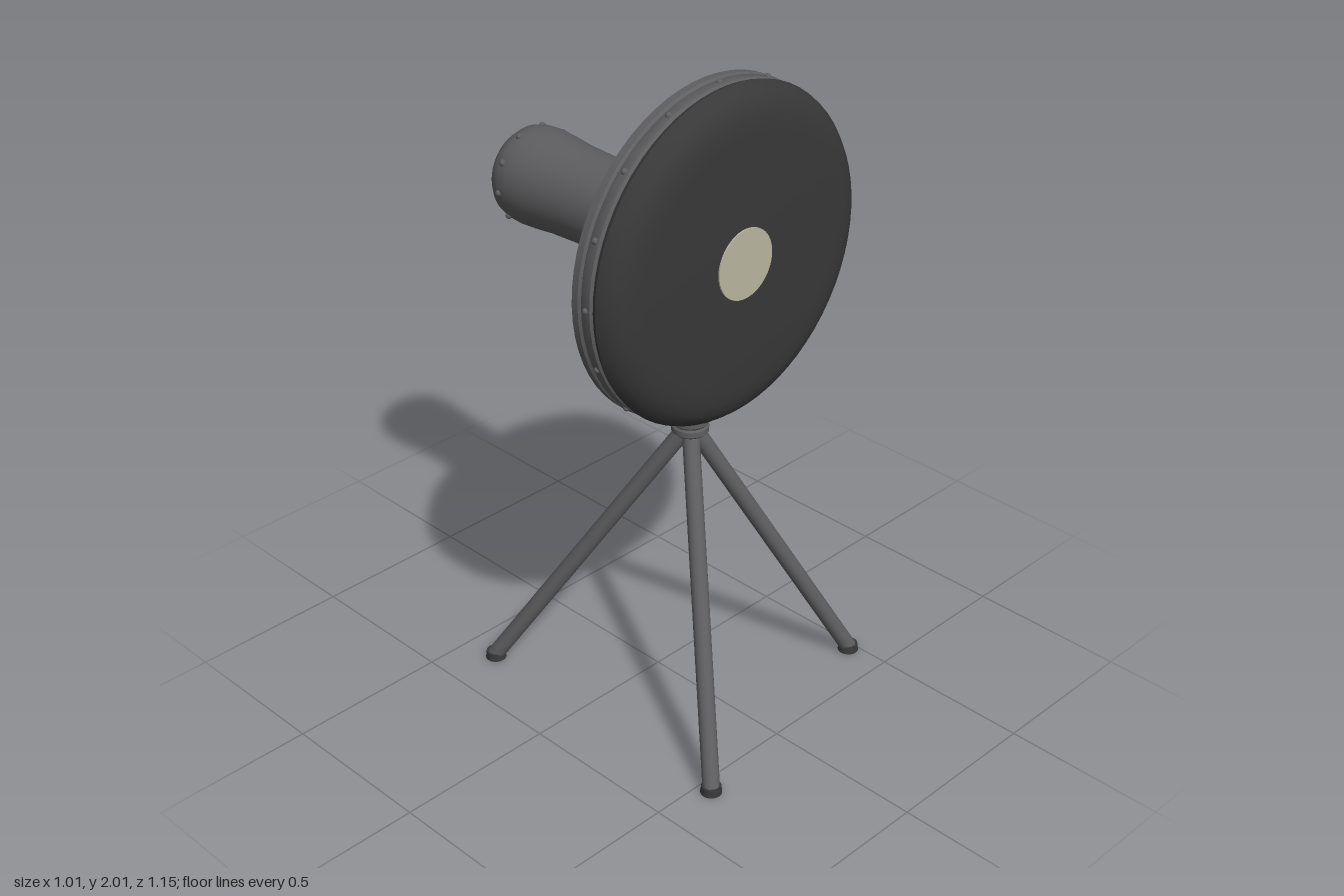
import * as THREE from 'three';
import { toCreasedNormals } from 'three/addons/utils/BufferGeometryUtils.js';
import { RoundedBoxGeometry } from 'three/addons/geometries/RoundedBoxGeometry.js';

export function createModel() {
  const model = new THREE.Group();
  const mat = (name, color) => {
    const m = new THREE.MeshStandardMaterial({ color });
    m.name = name;
    return m;
  };
  const metal = mat('grey metal', 0x5e5e60);
  const rubber = mat('dark rubber', 0x383838);
  const cream = mat('cream patch', 0xbab79f);

  const add = (name, geo, material, parent = model) => {
    const mesh = new THREE.Mesh(geo, material);
    mesh.name = name;
    parent.add(mesh);
    return mesh;
  };
  const lathe = (pts, seg = 64) => toCreasedNormals(
    new THREE.LatheGeometry(pts.map(([r, h]) => new THREE.Vector2(r, h)), seg), 0.6);
  // Rod between two points
  const rod = (name, a, b, r, material, parent) => {
    const dir = b.clone().sub(a);
    const mesh = add(name, new THREE.CylinderGeometry(r, r, dir.length(), 20), material, parent);
    mesh.position.copy(a).add(b).multiplyScalar(0.5);
    mesh.quaternion.setFromUnitVectors(new THREE.Vector3(0, 1, 0), dir.normalize());
    return mesh;
  };

  // Head: everything turned about the horizontal z axis
  const head = new THREE.Group();
  head.name = 'head';
  head.position.set(-0.005, 1.505, 0);
  model.add(head);
  const turned = (name, pts, material) => {
    const m = add(name, lathe(pts), material, head);
    m.rotation.x = Math.PI / 2;
    return m;
  };

  // Striking pad with rounded front edge
  turned('frontPad', [[0, 0.25], [0.478, 0.25], [0.49, 0.256], [0.494, 0.268], [0.488, 0.285],
    [0.472, 0.306], [0.448, 0.322], [0.415, 0.331], [0.37, 0.334], [0, 0.335]], rubber);
  const patch = add('centrePatch', new THREE.CylinderGeometry(0.104, 0.104, 0.008, 48), cream, head);
  patch.rotation.x = Math.PI / 2;
  patch.position.z = 0.335;

  // Metal hoop with a rolled back lip, and the recessed back panel
  turned('hoop', [[0.455, 0.25], [0.455, 0.182], [0.462, 0.176], [0.488, 0.176], [0.495, 0.182],
    [0.495, 0.204], [0.489, 0.211], [0.493, 0.217], [0.493, 0.246], [0.486, 0.252], [0.455, 0.252]], metal);
  turned('backPanel', [[0, 0.184], [0.458, 0.184], [0.458, 0.25]], rubber);

  // Barrel, slightly waisted and flared toward the rear
  turned('barrel', [[0, -0.575], [0.06, -0.573], [0.1, -0.566], [0.125, -0.553], [0.14, -0.533],
    [0.147, -0.505], [0.149, -0.47], [0.146, -0.42], [0.139, -0.35], [0.135, -0.25], [0.134, -0.1],
    [0.137, 0.05], [0.14, 0.13], [0.138, 0.165], [0.132, 0.186]], metal);

  // Rings of rivets
  const rivetGeo = new THREE.SphereGeometry(0.01, 10, 8);
  const rivets = (name, count, radius, z, phase) => {
    for (let i = 0; i < count; i++) {
      const a = phase + (i / count) * Math.PI * 2;
      add(name, rivetGeo, metal, head).position.set(Math.cos(a) * radius, Math.sin(a) * radius, z);
    }
  };
  rivets('rearRivet', 10, 0.147, -0.5, 0.1);
  rivets('frontRivet', 10, 0.139, 0.13, 0.1);
  rivets('hoopRivet', 16, 0.491, 0.231, 0);

  // Upright and clamp under the barrel
  const px = -0.005, pz = 0.135;
  const at = (x, y, z) => new THREE.Vector3(px + x, y, pz + z);
  rod('upright', at(0, 0.92, 0), at(0, 1.38, 0), 0.043, metal);
  const collar = add('collar', lathe([[0, 0.897], [0.046, 0.897], [0.055, 0.905], [0.055, 0.922],
    [0.05, 0.928], [0.055, 0.934], [0.055, 0.95], [0.046, 0.957], [0.04, 0.957]], 32), metal);
  collar.position.set(px, 0, pz);
  add('saddle', new RoundedBoxGeometry(0.15, 0.04, 0.11, 2, 0.008), metal).position.set(px, 1.363, 0.122);
  add('upperBand', new THREE.CylinderGeometry(0.05, 0.05, 0.03, 24), metal).position.set(px, 1.325, pz);
  add('bracketPlate', new RoundedBoxGeometry(0.055, 0.2, 0.03, 2, 0.008), metal).position.set(px, 1.25, 0.17);
  for (const s of [-1, 1]) {
    rod('clampArm', at(0, 1.32, -0.035), at(s * 0.075, 1.36, -0.03), 0.013, metal);
    add('clampBolt', rivetGeo, metal).position.set(px + s * 0.048, 1.315, pz);
  }

  // Tripod legs with rubber feet
  const feet = [[0.47, 0.375], [-0.33, 0.545], [-0.338, -0.38]];
  for (const [x, z] of feet) {
    const foot = new THREE.Vector3(x, 0.012, z);
    const top = at(0, 0.925, 0);
    const dir = foot.clone().sub(top).normalize();
    top.addScaledVector(dir, 0.01);
    rod('leg', top, foot, 0.0255, metal);
    const tip = add('foot', new THREE.CylinderGeometry(0.029, 0.032, 0.024, 20), rubber);
    tip.position.set(x, 0.012, z);
  }
  return model;
}
